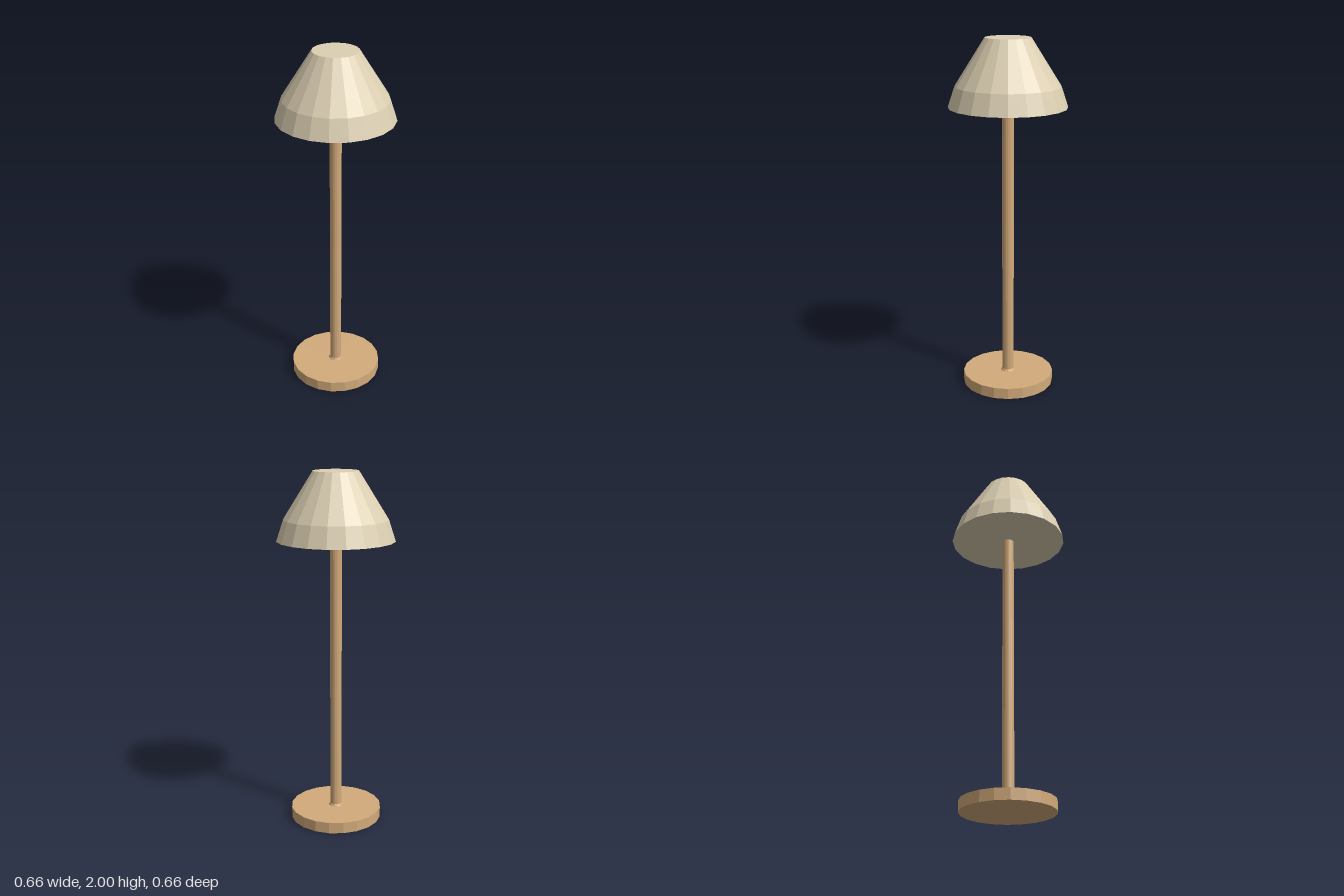
import * as THREE from 'three';

const SIDES = 20;

export function createModel() {
  const model = new THREE.Group();
  model.name = 'tableLamp';

  const wood = new THREE.MeshStandardMaterial({ color: 0xd2ab7b });
  wood.name = 'lightWood';
  wood.flatShading = true;
  const fabric = new THREE.MeshStandardMaterial({ color: 0xdccfb2 });
  fabric.name = 'creamFabric';
  fabric.flatShading = true;

  // Closed faceted solid turned from [radius, height] pairs, bottom to top
  function turned(name, profile, material) {
    const points = [
      [0, profile[0][1]],
      ...profile,
      [0, profile[profile.length - 1][1]],
    ].map(([r, y]) => new THREE.Vector2(r, y));
    const mesh = new THREE.Mesh(new THREE.LatheGeometry(points, SIDES), material);
    mesh.name = name;
    model.add(mesh);
  }

  // Round foot, small tapered collar and slim pole
  turned('base', [[0.26, 0], [0.26, 0.063]], wood);
  turned('collar', [[0.042, 0.06], [0.034, 0.075]], wood);
  turned('pole', [[0.033, 0.06], [0.033, 1.66]], wood);

  // Closed shade that flares in two steps
  turned('shade', [[0.328, 1.625], [0.29, 1.74], [0.126, 2]], fabric);

  return model;
}
